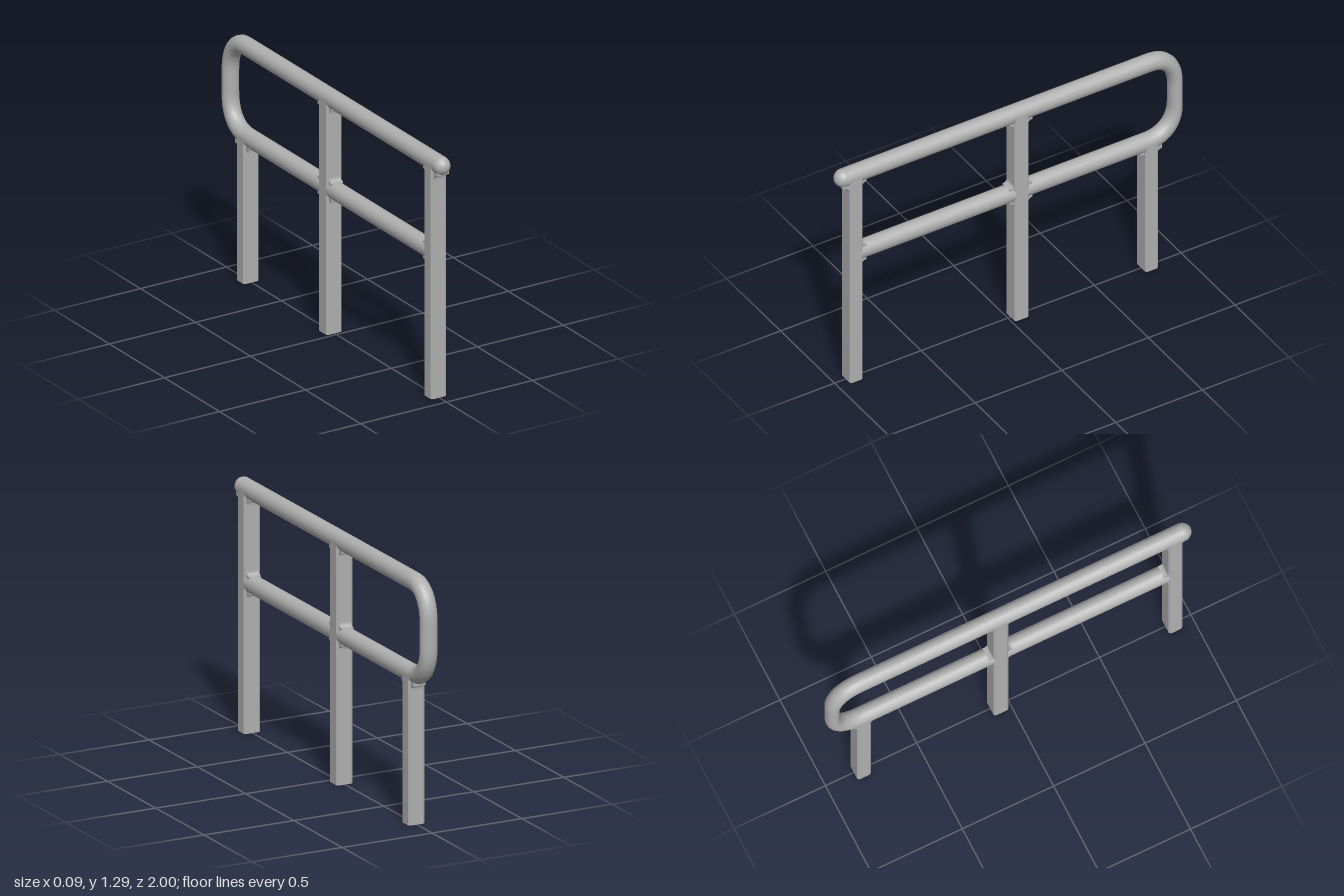
import * as THREE from 'three';

const HALF = 0.046;          // half width of rails and posts across x
const TOP = 1.243, LOW = 0.765; // rail centre heights

// Rail sweep: the path lies in the YZ plane, the section is slimmer where it runs vertically
function sweepRail(path, steps, sides) {
  const pos = [], idx = [];
  for (let i = 0; i <= steps; i++) {
    const p = path.getPointAt(i / steps), t = path.getTangentAt(i / steps);
    const depth = THREE.MathUtils.lerp(0.036, 0.048, Math.abs(t.z));
    for (let j = 0; j < sides; j++) {
      const a = (j / sides) * Math.PI * 2, n = depth * Math.sin(a);
      pos.push(HALF * Math.cos(a), p.y + n * t.z, p.z - n * t.y);
      if (i < steps) {
        const k = (j + 1) % sides, r = i * sides, s = r + sides;
        idx.push(r + j, r + k, s + j, r + k, s + k, s + j);
      }
    }
  }
  const g = new THREE.BufferGeometry();
  g.setAttribute('position', new THREE.Float32BufferAttribute(pos, 3));
  g.setIndex(idx);
  g.computeVertexNormals();
  return g;
}

// Upright square post with chamfered edges
function postGeometry(depth, height, chamfer) {
  const w = HALF - 0.001, d = depth / 2, c = chamfer;
  const outline = [[w - c, -d], [w, -d + c], [w, d - c], [w - c, d],
    [-w + c, d], [-w, d - c], [-w, -d + c], [-w + c, -d]];
  const shape = new THREE.Shape(outline.map(([x, y]) => new THREE.Vector2(x, y)));
  return new THREE.ExtrudeGeometry(shape, { depth: height, bevelEnabled: false }).rotateX(-Math.PI / 2);
}

// Concave weld in the corner between a post face and a rail
function filletGeometry(z, y, sz, sy, r) {
  const s = new THREE.Shape();
  s.moveTo(z, y - sy * 0.03);
  s.lineTo(z + sz * r, y - sy * 0.03);
  s.lineTo(z + sz * r, y);
  s.quadraticCurveTo(z, y, z, y + sy * r);
  s.closePath();
  return new THREE.ExtrudeGeometry(s, { depth: 0.066, bevelEnabled: false, curveSegments: 4 })
    .translate(0, 0, -0.033).rotateY(-Math.PI / 2);
}

export function createModel() {
  const model = new THREE.Group();
  model.name = 'handrail';
  const metal = new THREE.MeshStandardMaterial({ color: 0xb0b0b0 });
  metal.name = 'grey metal';
  const add = (name, geometry) => {
    const mesh = new THREE.Mesh(geometry, metal);
    mesh.name = name;
    model.add(mesh);
    return mesh;
  };

  // One continuous rail: top run, rounded back loop, lower run
  const v = (z, y) => new THREE.Vector3(0, y, z);
  const path = new THREE.CurvePath();
  path.add(new THREE.LineCurve3(v(0.95, TOP), v(-0.82, TOP)));
  path.add(new THREE.CubicBezierCurve3(v(-0.82, TOP), v(-0.91, TOP), v(-0.964, 1.17), v(-0.964, 1.07)));
  path.add(new THREE.LineCurve3(v(-0.964, 1.07), v(-0.964, 0.94)));
  path.add(new THREE.CubicBezierCurve3(v(-0.964, 0.94), v(-0.964, 0.84), v(-0.91, LOW), v(-0.8, LOW)));
  path.add(new THREE.LineCurve3(v(-0.8, LOW), v(0.9, LOW)));
  add('loopRail', sweepRail(path, 160, 16));

  // Rounded front end of the top rail
  const cap = add('railCap', new THREE.SphereGeometry(1, 16, 12));
  cap.scale.set(HALF, 0.048, 0.05);
  cap.position.set(0, TOP, 0.95);

  // Posts: centre z, depth, height
  const posts = [
    ['frontPost', 0.898, 0.075, TOP],
    ['middlePost', -0.057, 0.083, TOP],
    ['backPost', -0.807, 0.075, LOW],
  ];
  for (const [name, z, depth, height] of posts) {
    add(name, postGeometry(depth, height, 0.009)).position.z = z;
    // Welds where the post meets each rail
    for (const sz of [-1, 1]) {
      const face = z + sz * depth / 2;
      const frontFace = name === 'frontPost' && sz === 1;
      if (height === TOP) add('upperWeld', filletGeometry(face, 1.197, sz, -1, frontFace ? 0.035 : 0.024));
      if (frontFace) continue;
      if (height === TOP) add('lowerWeldTop', filletGeometry(face, 0.811, sz, 1, 0.024));
      add('lowerWeldBottom', filletGeometry(face, 0.719, sz, -1, 0.024));
    }
  }
  return model;
}
